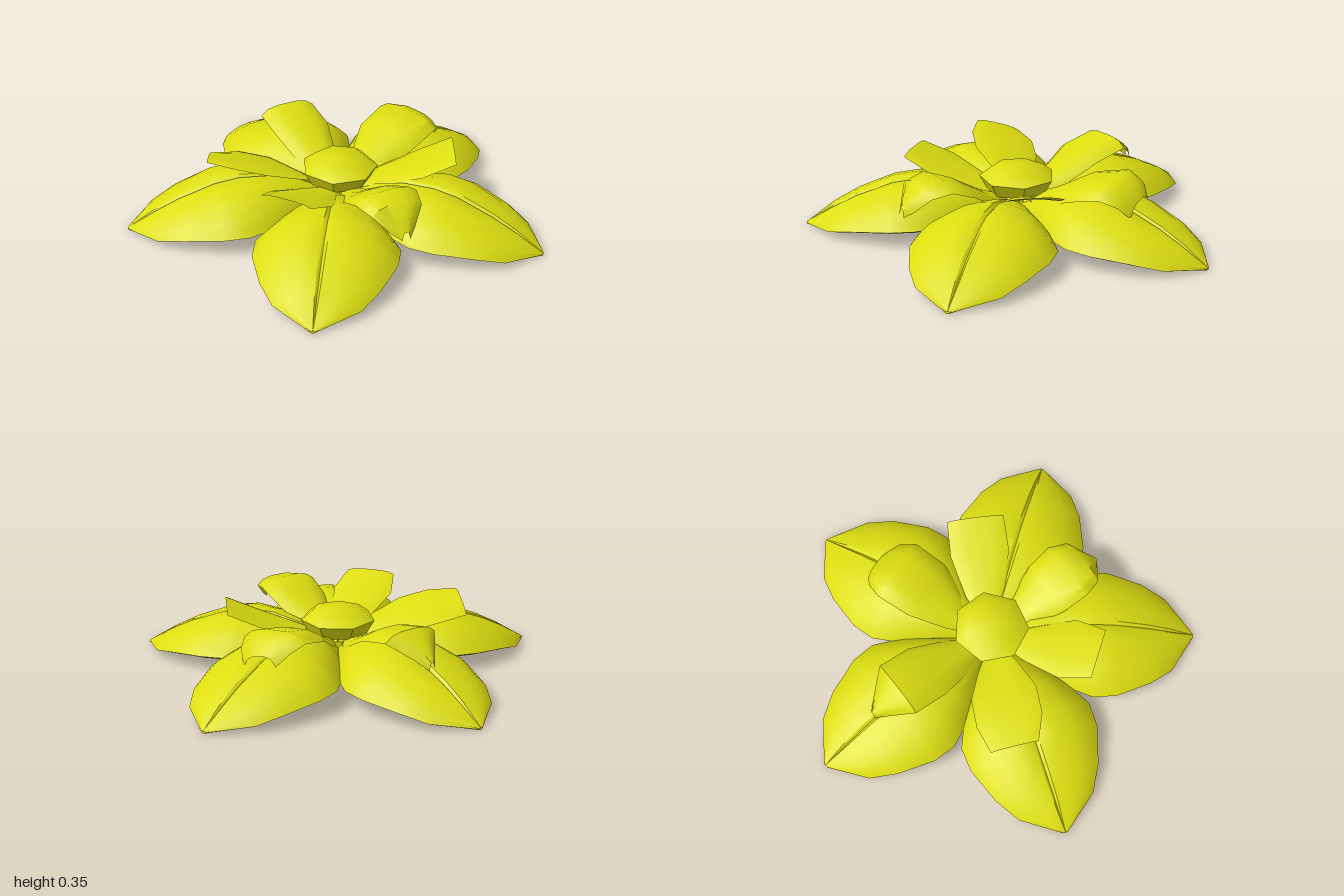
import * as THREE from 'three';
import { toCreasedNormals } from 'three/addons/utils/BufferGeometryUtils.js';

const HUB_Z = 0.1; // the flower's hub sits slightly forward

// Skin rows of [x, y, z] points; closed rows are rings and get end caps.
function loft(rows, closed) {
  const n = rows[0].length, last = rows.length - 1;
  const points = rows.flat(), index = [];
  for (let i = 0; i < last; i++) {
    for (let k = 0; k < (closed ? n : n - 1); k++) {
      const a = i * n + k, b = i * n + (k + 1) % n;
      index.push(a, a + n, b, b, a + n, b + n);
    }
  }
  if (closed) {
    for (const i of [0, last]) {
      const c = points.length;
      points.push([0, 1, 2].map((d) => rows[i].reduce((sum, p) => sum + p[d], 0) / n));
      for (let k = 0; k < n; k++) {
        const a = i * n + k, b = i * n + (k + 1) % n;
        if (i === 0) index.push(c, a, b);
        else index.push(c, b, a);
      }
    }
  }
  const g = new THREE.BufferGeometry();
  g.setAttribute('position', new THREE.Float32BufferAttribute(points.flat(), 3));
  g.setIndex(index);
  return toCreasedNormals(g, 0.75);
}

// Broad petal along +z, puffed above and rounded below, with a groove on top.
// Section: [distance, halfWidth, topY, edgeY, bottomY].
function outerPetalGeometry(sections) {
  const across = [-1, -0.95, -0.82, -0.6, -0.3, -0.05, 0, 0.05, 0.3, 0.6, 0.82, 0.95, 1];
  const under = across.slice(1, -1).reverse();
  return loft(sections.map(([r, w, top, edge, bottom]) => [
    ...across.map((s) => {
      const groove = s === 0 ? Math.min(0.014, (top - edge) * 0.4) : 0;
      return [s * w, edge + (top - edge) * (1 - Math.abs(s) ** 3) - groove, r];
    }),
    ...under.map((s) => [s * w, edge + (bottom - edge) * (1 - Math.abs(s) ** 3), r]),
  ]), true);
}

// Thin upturned petal along +z; its sides droop and it may tilt sideways.
// Section: [distance, halfWidth, y].
function innerPetalGeometry(sections, droop, tilt) {
  return loft(sections.map(([r, w, y]) =>
    [-1, -0.75, -0.4, 0, 0.4, 0.75, 1].map((s) =>
      [s * w, y - droop * s * s * s * s + tilt * s, r])), false);
}

export function createModel() {
  const model = new THREE.Group();
  model.name = 'flower';
  const yellow = new THREE.MeshStandardMaterial({ color: 0xdddd11, side: THREE.DoubleSide });
  yellow.name = 'petalYellow';

  const add = (name, geometry, angle) => {
    const mesh = new THREE.Mesh(geometry, yellow);
    mesh.name = name;
    mesh.position.z = HUB_Z;
    mesh.rotation.y = angle;
    model.add(mesh);
  };

  // five broad outer petals, one pointing straight back
  const outer = outerPetalGeometry([
    [0.03, 0.03, 0.1, 0.06, 0.035],
    [0.2, 0.16, 0.19, 0.08, 0.033],
    [0.35, 0.27, 0.23, 0.085, 0.03],
    [0.5, 0.34, 0.237, 0.09, 0.024],
    [0.62, 0.335, 0.217, 0.085, 0.02],
    [0.8, 0.27, 0.15, 0.065, 0.013],
    [0.92, 0.195, 0.09, 0.035, 0.008],
    [1.05, 0.012, 0.012, 0.006, 0],
  ]);
  for (let i = 0; i < 5; i++) {
    add('outerPetal' + (i + 1), outer, Math.PI + (i * Math.PI * 2) / 5);
  }

  // six raised inner petals: direction from the hub, then the outer sections
  const inner = [
    { x: 0.01, z: -0.73, droop: 0.04, tilt: 0,
      ends: [[0.4, 0.15, 0.305], [0.57, 0.15, 0.342], [0.68, 0.06, 0.27], [0.73, 0.015, 0.225]] },
    { x: 0.62, z: -0.23, droop: 0.05, tilt: 0.015,
      ends: [[0.38, 0.17, 0.3], [0.55, 0.175, 0.342], [0.63, 0.14, 0.31], [0.675, 0.09, 0.25]] },
    { x: 0.48, z: 0.28, droop: 0.015, tilt: 0,
      ends: [[0.4, 0.15, 0.27], [0.56, 0.145, 0.342]] },
    { x: -0.03, z: 0.66, droop: 0.04, tilt: 0,
      ends: [[0.35, 0.15, 0.29], [0.47, 0.16, 0.342], [0.57, 0.13, 0.325], [0.63, 0.06, 0.25], [0.66, 0.02, 0.22]] },
    { x: -0.45, z: 0.3, droop: 0.015, tilt: 0,
      ends: [[0.4, 0.16, 0.275], [0.55, 0.13, 0.335]] },
    { x: -0.575, z: -0.31, droop: 0.015, tilt: 0.035,
      ends: [[0.35, 0.16, 0.255], [0.5, 0.16, 0.29], [0.64, 0.115, 0.305]] },
  ];
  inner.forEach(({ x, z, ends, droop, tilt }, i) => {
    const root = [[0.1, 0.05, 0.165], [0.2, 0.1, 0.2]];
    add('innerPetal' + (i + 1), innerPetalGeometry([...root, ...ends], droop, tilt), Math.atan2(x, z));
  });

  // seven-sided domed centre with steep sides
  const profile = [[0, 0.15], [0.15, 0.17], [0.19, 0.24], [0.13, 0.285], [0, 0.305]]
    .map(([r, y]) => new THREE.Vector2(r, y));
  add('centre', toCreasedNormals(new THREE.LatheGeometry(profile, 7), 0.7), 0.2);

  return model;
}
